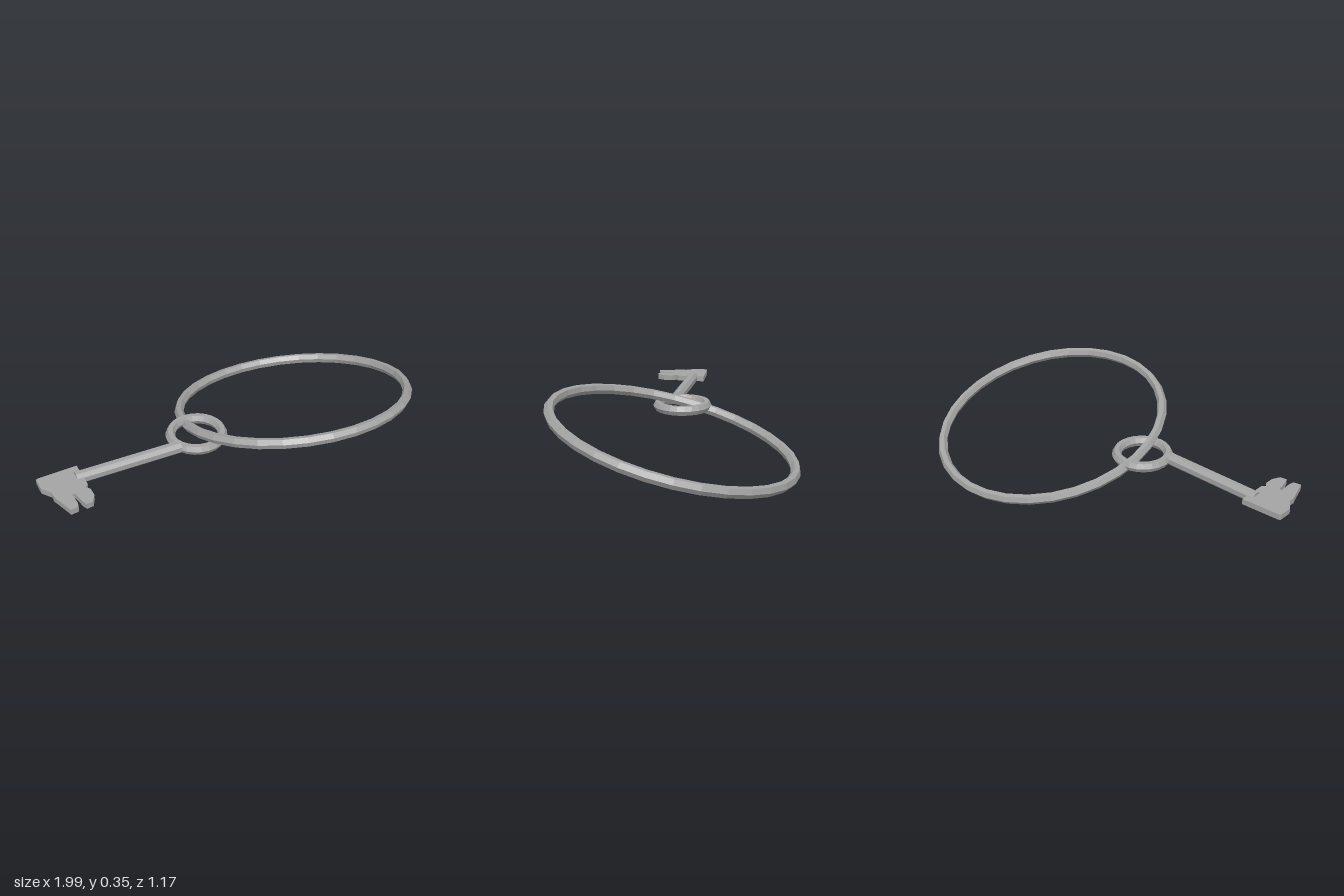
import * as THREE from 'three';

const MID_Y = 0.18;

export function createModel() {
  const group = new THREE.Group();
  const iron = new THREE.MeshStandardMaterial({ color: 0xa3a3a3, flatShading: true });
  iron.name = 'iron grey';

  const add = (name, geometry, x, y, z) => {
    const mesh = new THREE.Mesh(geometry, iron);
    mesh.name = name;
    mesh.position.set(x, y, z);
    group.add(mesh);
    return mesh;
  };

  // Rings with a slightly tall six-sided section, laid flat and then tilted
  const addRing = (name, outer, tube, segments, x, z, tilt) => {
    const geometry = new THREE.TorusGeometry(outer - tube, tube, 6, segments);
    geometry.scale(1, 1, 1.1);
    geometry.rotateX(Math.PI / 2 - tilt);
    return add(name, geometry, x, MID_Y, z);
  };
  addRing('keyRing', 0.608, 0.024, 32, 0.385, 0, THREE.MathUtils.degToRad(15.1));
  addRing('keyBow', 0.151, 0.024, 24, -0.19, 0.067, 0);

  // Eight-sided shaft from the bow to the bit
  const shaft = new THREE.CylinderGeometry(0.031, 0.031, 0.525, 8);
  shaft.rotateY(Math.PI / 8);
  shaft.rotateZ(Math.PI / 2);
  add('keyShaft', shaft, -0.5675, MID_Y, 0.125);

  // Flat bit with two teeth, outlined in x and z
  const outline = [
    [-0.985, 0.066], [-0.8, 0.057], [-0.8, 0.205], [-0.815, 0.222],
    [-0.8, 0.243], [-0.8, 0.29], [-0.82, 0.329], [-0.853, 0.334],
    [-0.863, 0.307], [-0.874, 0.243], [-0.888, 0.243], [-0.884, 0.307],
    [-0.89, 0.334], [-0.928, 0.34], [-0.945, 0.286], [-0.966, 0.222],
    [-0.966, 0.19], [-1, 0.142], [-1, 0.07],
  ].map(([x, z]) => new THREE.Vector2(x, z));
  const bit = new THREE.ExtrudeGeometry(new THREE.Shape(outline), { depth: 0.028, bevelEnabled: false });
  bit.rotateX(Math.PI / 2);
  add('keyBit', bit, 0, MID_Y + 0.014, 0);

  return group;
}
